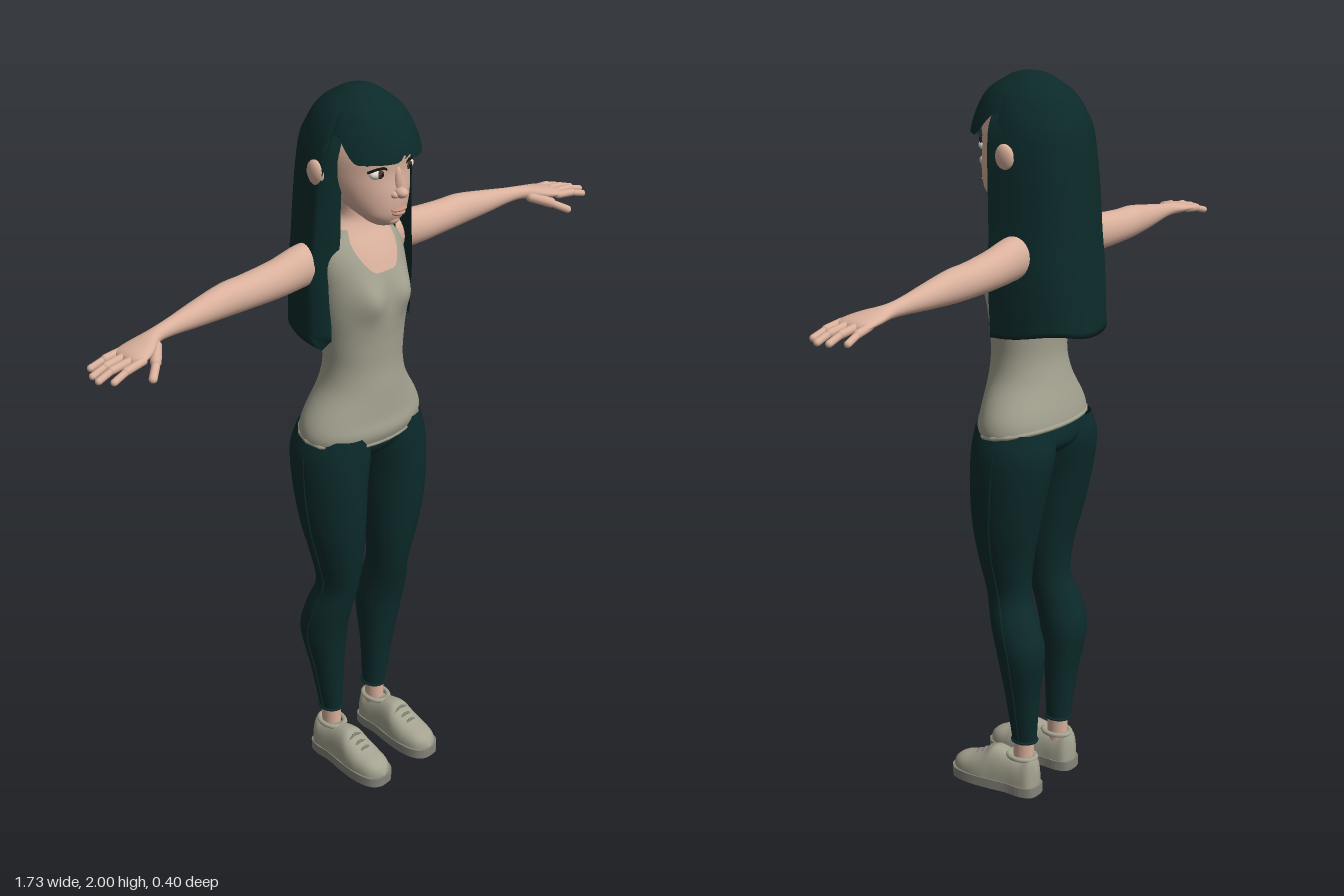
import * as THREE from 'three';
import { ParametricGeometry } from 'three/addons/geometries/ParametricGeometry.js';
import { mergeVertices } from 'three/addons/utils/BufferGeometryUtils.js';

const mat = (name, color, double) => {
  const m = new THREE.MeshStandardMaterial({ color });
  m.name = name;
  if (double) m.side = THREE.DoubleSide;
  return m;
};
const { sin, cos, abs, sign, PI, exp, pow } = Math;
const step = THREE.MathUtils.smoothstep;
const V = (x, y, z) => new THREE.Vector3(x, y, z);

// Smoothly interpolates table rows, keyed by their first column
function at(rows, k) {
  const n = rows.length;
  let i = 0;
  while (i < n - 2 && k > rows[i + 1][0]) i++;
  const a = rows[i], b = rows[i + 1], p = rows[Math.max(i - 1, 0)], q = rows[Math.min(i + 2, n - 1)];
  const h = b[0] - a[0], t = THREE.MathUtils.clamp((k - a[0]) / h, 0, 1), t2 = t * t, t3 = t2 * t;
  return a.map((v, c) => (2 * t3 - 3 * t2 + 1) * v + (3 * t2 - 2 * t3) * b[c]
    + (t3 - 2 * t2 + t) * h * (b[c] - p[c]) / (b[0] - p[0])
    + (t3 - t2) * h * (q[c] - a[c]) / (q[0] - a[0]));
}

// Smooth surface from a rule (u, v) => [x, y, z]
function surface(rule, nu, nv) {
  const g = new ParametricGeometry((u, v, p) => p.set(...rule(u, v)), nu, nv);
  g.deleteAttribute('uv');
  g.deleteAttribute('normal');
  const m = mergeVertices(g, 1e-5);
  m.computeVertexNormals();
  return m;
}

// Upright loft; rows are [y, halfWidth, zFront, zBack, xCentre]
function ring(rows, y, a, cx = 0, grow = 0) {
  const [, rx, zf, zb] = at(rows, y), r = (zf - zb) / 2;
  return [cx + (Math.max(rx, 0) + grow) * sin(a), y, (zf + zb) / 2 + (r + grow) * cos(a)];
}
function upright(rows, side = 1, nv = 40) {
  const lo = rows[0][0], hi = rows.at(-1)[0];
  return surface((u, v) => {
    const y = lo + (hi - lo) * v;
    return ring(rows, y, u * 2 * PI, side * (at(rows, y)[4] || 0));
  }, 36, nv);
}

const TORSO = [[1.04, .185, .1, -.115], [1.08, .192, .115, -.125], [1.12, .18, .11, -.12], [1.2, .13, .105, -.1],
  [1.26, .116, .1, -.088], [1.33, .12, .102, -.09], [1.42, .13, .108, -.1], [1.5, .135, .1, -.11],
  [1.56, .135, .08, -.108], [1.6, .12, .058, -.1], [1.63, .085, .04, -.085], [1.655, .052, .032, -.07], [1.72, .047, .03, -.06]];
const HEAD = [[1.655, 0, .085, .085], [1.662, .03, .11, .05], [1.685, .06, .128, .02], [1.71, .08, .134, -.03],
  [1.75, .1, .135, -.09], [1.8, .112, .13, -.12], [1.86, .112, .13, -.13], [1.92, .09, .1, -.11], [1.97, .04, .05, -.06], [1.98, 0, 0, 0]];
const CAP = [[1.8, .147, .162, -.17], [1.84, .14, .163, -.166], [1.9, .121, .146, -.15], [1.95, .09, .115, -.115],
  [1.985, .048, .06, -.06], [1.995, .028, .035, -.035], [2, 0, 0, 0]];
// Long hair rows: [y, halfWidth, zFront, zBack, innerHalfWidth]
const HAIR = [[1.33, .16, .02, -.2, .125], [1.5, .166, .022, -.19, .125], [1.6, .158, .025, -.183, .1],
  [1.7, .152, .03, -.178, .1], [1.8, .146, .035, -.168, .1], [1.87, .133, .04, -.158, .1], [1.92, .105, .04, -.135, .07]];
const PELVIS = [[.985, 0, 0, -.02], [.995, .07, .06, -.08], [1.02, .15, .09, -.115], [1.05, .185, .1, -.122], [1.1, .17, .1, -.11]];
const LEG = [[.155, .03, 0, -.07, .086], [.3, .046, .012, -.085, .098], [.44, .066, .03, -.105, .108], [.52, .063, .05, -.085, .107],
  [.6, .055, .07, -.058, .097], [.7, .071, .088, -.065, .103], [.8, .085, .1, -.088, .111], [.92, .093, .106, -.115, .112],
  [1.02, .098, .106, -.13, .102], [1.08, .083, .1, -.118, .095]];
const ANKLE = [[.05, .027, 0, -.065, .088], [.11, .025, -.003, -.062, .087], [.18, .026, -.003, -.064, .087]];
// Arm rows: [x, halfHeight, halfDepth, yCentre, zCentre]
const ARM = [[.1, .05, .045, 1.55, -.045], [.16, .056, .046, 1.551, -.048], [.25, .05, .044, 1.541, -.048], [.35, .045, .041, 1.537, -.05],
  [.42, .043, .038, 1.537, -.05], [.52, .032, .03, 1.532, -.045], [.6, .022, .021, 1.528, -.04], [.65, .018, .022, 1.525, -.034],
  [.7, .017, .042, 1.519, -.018], [.745, .014, .05, 1.513, -.009], [.765, .008, .044, 1.509, -.008], [.77, 0, 0, 1.508, -.008]];
// Shoe rows: [-z, halfWidth, height above sole]
const SHOE = [[-.192, 0, .005], [-.188, .018, .022], [-.165, .04, .04], [-.12, .05, .055], [-.08, .05, .075],
  [-.055, .046, .093], [0, .04, .086], [.04, .039, .08], [.068, .034, .088], [.08, .018, .07], [.083, 0, .04]];

export function createModel() {
  const root = new THREE.Group();
  root.name = 'woman';
  const skin = mat('skin', 0xd9b09c), hair = mat('hair', 0x0c2a2a, true), pants = mat('trousers', 0x0c2a2b, true);
  const cloth = mat('tankTop', 0xa3a18f, true), shoe = mat('shoe', 0xa5a390), sole = mat('sole', 0x85847a);
  const white = mat('eyeWhite', 0xe6e0d8), iris = mat('iris', 0x4a3626), lip = mat('lips', 0xc4917f), dark = mat('pupilAndLash', 0x121514);

  const add = (name, geo, m) => {
    const mesh = new THREE.Mesh(geo, m);
    mesh.name = name;
    root.add(mesh);
    return mesh;
  };
  const ball = (name, m, x, y, z, rx, ry, rz) => {
    const b = add(name, new THREE.SphereGeometry(1, 20, 14), m);
    b.position.set(x, y, z);
    b.scale.set(rx, ry, rz);
    return b;
  };
  const tube = (name, m, pts, r) =>
    add(name, new THREE.TubeGeometry(new THREE.CatmullRomCurve3(pts.map(p => V(...p))), 24, r, 8), m);
  const rod = (name, m, a, b, r) => {
    const d = b.clone().sub(a), c = add(name, new THREE.CapsuleGeometry(r, d.length() - r, 6, 12), m);
    c.position.copy(a).add(b).multiplyScalar(.5);
    c.quaternion.setFromUnitVectors(V(0, 1, 0), d.normalize());
  };

  // Torso: skin underneath, tank top with a scooped neckline over it
  const body = (y, a, grow) => {
    const p = ring(TORSO, y, a, 0, grow);
    if (cos(a) > 0) p[2] += .022 * exp(-pow((abs(p[0]) - .06) / .038, 2) - pow((y - 1.46) / .048, 2));
    return p;
  };
  add('neckAndChest', surface((u, v) => body(1.35 + .37 * v, u * 2 * PI, -.004), 48, 40), skin);
  add('tankTop', surface((u, v) => {
    const a = (u - .5) * 2 * PI, f = abs(a), b = PI - f;
    const top = Math.min(1.53 + .105 * step(f, .2, .95), 1.57 + .065 * step(b, .3, .95));
    const low = 1.068 - .018 * cos(a);
    return body(low + (top - low) * v, a, 0);
  }, 72, 60), cloth);
  tube('tankHem', cloth, Array.from({ length: 25 }, (_, i) => {
    const a = i / 24 * 2 * PI;
    return body(1.07 - .018 * cos(a), a, -.003);
  }), .007);

  // Head and face
  add('head', upright(HEAD, 1, 48), skin);
  ball('noseTip', skin, 0, 1.754, .14, .016, .014, .02);
  ball('noseBridge', skin, 0, 1.785, .128, .011, .035, .012);
  ball('upperLip', lip, 0, 1.71, .134, .026, .006, .013);
  ball('lowerLip', lip, 0, 1.7, .132, .021, .007, .014);
  ball('chin', skin, 0, 1.678, .108, .024, .016, .018);

  // Hair cap with fringe, then the long hollow fall
  add('hairCap', surface((u, v) => {
    const a = (u - .5) * 2 * PI, f = abs(a);
    const edge = f < 1.42 ? 1.842 + .022 * exp(-pow(a / .12, 2)) + .06 * step(f, .9, 1.35) : 1.8;
    return ring(CAP, edge + (2 - edge) * sin(v * PI / 2), a);
  }, 90, 30), hair);
  add('longHair', surface((u, v) => {
    const outer = u < .5, a = outer ? PI / 2 + 2 * PI * u : PI / 2 + 2 * PI * (1 - u);
    const low = 1.342 - .008 * cos(4 * a), y = low + (1.92 - low) * v;
    const [, rx, zf, zb, inner] = at(HAIR, y), solid = outer || v === 0;
    const w = solid ? rx : inner, back = solid ? zb : zb + .03;
    return [w * sign(sin(a)) * pow(abs(sin(a)), .8), y, zf - (zf - back) * pow(abs(cos(a)), .8)];
  }, 80, 40), hair);

  add('hips', upright(PELVIS, 1, 20), pants);

  for (const s of [1, -1]) {
    // Eye, brow, ear and nostril
    ball('eye', white, s * .05, 1.808, .106, .024, .015, .016);
    ball('iris', iris, s * .049, 1.808, .115, .0115, .012, .0105);
    ball('pupil', dark, s * .049, 1.808, .1215, .006, .006, .005);
    tube('upperLash', dark, [[s * .025, 1.808, .12], [s * .037, 1.821, .122], [s * .055, 1.824, .12], [s * .077, 1.814, .1]], .0035);
    tube('eyebrow', hair, [[s * .022, 1.838, .13], [s * .05, 1.846, .122], [s * .082, 1.836, .1]], .005);
    ball('ear', skin, s * .14, 1.8, -.015, .017, .036, .028).rotation.z = -s * .15;
    ball('earLobe', skin, s * .135, 1.77, -.006, .012, .014, .014);
    ball('nostrilWing', skin, s * .015, 1.75, .132, .01, .009, .012);

    // Arm, palm and fingers
    add('arm', surface((u, v) => {
      const x = .1 + .67 * v, [, ry, rz, cy, cz] = at(ARM, x), a = u * 2 * PI;
      return [s * x, cy - s * Math.max(ry, 0) * sin(a), cz + Math.max(rz, 0) * cos(a)];
    }, 28, 70), skin);
    [[.832, -.047, -.055], [.854, -.021, -.018], [.86, .006, .012], [.838, .031, .042]].forEach(([x, z0, z1]) => {
      rod('finger', skin, V(s * .735, 1.512, z0), V(s * (x - .04), 1.505, (z0 + z1) / 2), .0105);
      rod('fingertip', skin, V(s * (x - .045), 1.505, (z0 + z1) / 2), V(s * x, 1.492, z1), .009);
    });
    rod('thumb', skin, V(s * .665, 1.515, -.012), V(s * .71, 1.497, .04), .014);
    rod('thumbTip', skin, V(s * .705, 1.498, .036), V(s * .745, 1.476, .07), .0105);

    // Trouser leg with side seam and cuff
    add('trouserLeg', upright(LEG, s, 56), pants);
    tube('sideSeam', pants, LEG.slice(0, -1).map(([y, rx, zf, zb, cx]) => [s * (cx + rx), y, (zf + zb) / 2]), .003);
    const cuff = add('trouserCuff', new THREE.TorusGeometry(.032, .004, 8, 28), pants);
    cuff.rotation.x = PI / 2;
    cuff.position.set(s * .086, .158, -.035);
    cuff.scale.y = 1.1;
    add('ankle', upright(ANKLE, s, 10), skin);

    // Shoe upper, collar, laces and sole
    const cx = s * .093;
    add('shoeUpper', surface((u, v) => {
      const k = -.192 + .275 * v, [, w, h] = at(SHOE, k), a = (u - .5) * PI;
      return [cx + Math.max(w, 0) * sign(a) * pow(abs(sin(a)), .8), .025 + h * pow(Math.max(cos(a), 0), .75), -k];
    }, 28, 44), shoe);
    const collar = add('shoeCollar', new THREE.TorusGeometry(.032, .007, 8, 28), shoe);
    collar.rotation.x = PI / 2;
    collar.position.set(s * .089, .107, -.028);
    collar.scale.y = 1.25;
    for (const z of [.07, .09, .11]) {
      const h = at(SHOE, -z)[2] + .026;
      tube('lace', sole, [[cx - .027, h - .014, z], [cx, h, z + .002], [cx + .027, h - .014, z]], .004);
    }
    const half = [[.02, -.194], [.045, -.17], [.054, -.12], [.05, -.06], [.042, 0], [.042, .05], [.025, .083]];
    const outline = [...half, ...half.map(([x, k]) => [-x, k]).reverse()].map(([x, k]) => new THREE.Vector2(x, k));
    const shape = new THREE.Shape(new THREE.SplineCurve([...outline, outline[0]]).getPoints(60));
    const base = add('shoeSole', new THREE.ExtrudeGeometry(shape, { depth: .028, bevelEnabled: false }), sole);
    base.rotation.x = -PI / 2;
    base.position.x = cx;
  }
  return root;
}
